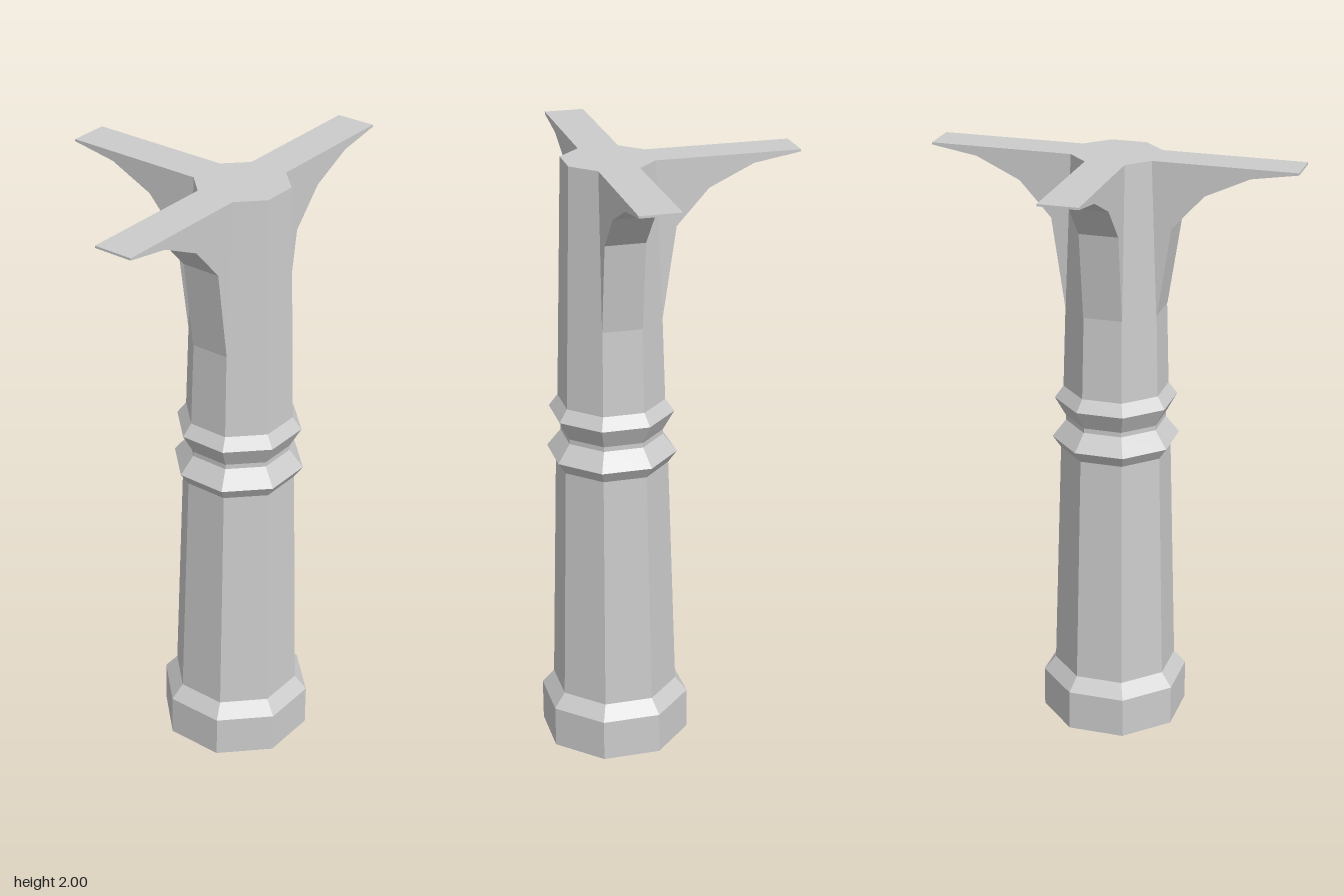
import * as THREE from 'three';

const CENTRE_Z = 0.185;
const SIDES = 8;

export function createModel() {
  const model = new THREE.Group();
  const material = new THREE.MeshStandardMaterial({
    color: 0xcccccc, flatShading: true, side: THREE.DoubleSide,
  });

  // Octagonal column, open underneath: [distance to flat side, height]
  const profile = [
    [0.23, 0], [0.23, 0.14], [0.193, 0.187],   // plinth
    [0.171, 0.99], [0.197, 1.03],              // shaft, lower collar
    [0.155, 1.088], [0.155, 1.104],            // groove
    [0.189, 1.17], [0.162, 1.21],              // upper collar
    [0.14, 2], [0, 2],                         // neck and flat top
  ];
  const toCorner = 1 / Math.cos(Math.PI / SIDES);
  const points = profile.map(([r, y]) => new THREE.Vector2(r * toCorner, y));
  const column = new THREE.Mesh(
    new THREE.LatheGeometry(points, SIDES, Math.PI / SIDES), material);
  column.name = 'column';
  column.position.z = CENTRE_Z;
  model.add(column);

  // Curved brackets reaching out to the right, left and back
  const width = 0.13;
  const shape = new THREE.Shape([
    [0.12, 2], [0.12, 1.49], [0.155, 1.49], [0.2, 1.785],
    [0.305, 1.9], [0.45, 1.968], [0.602, 1.993], [0.602, 2],
  ].map(([x, y]) => new THREE.Vector2(x, y)));
  const bracketGeometry = new THREE.ExtrudeGeometry(shape, { depth: width, bevelEnabled: false });
  bracketGeometry.translate(0, 0, -width / 2);

  const directions = { leftBracket: 0, backBracket: Math.PI / 2, rightBracket: Math.PI };
  for (const [name, angle] of Object.entries(directions)) {
    const bracket = new THREE.Mesh(bracketGeometry, material);
    bracket.name = name;
    bracket.position.z = CENTRE_Z;
    bracket.rotation.y = angle;
    model.add(bracket);
  }

  return model;
}
